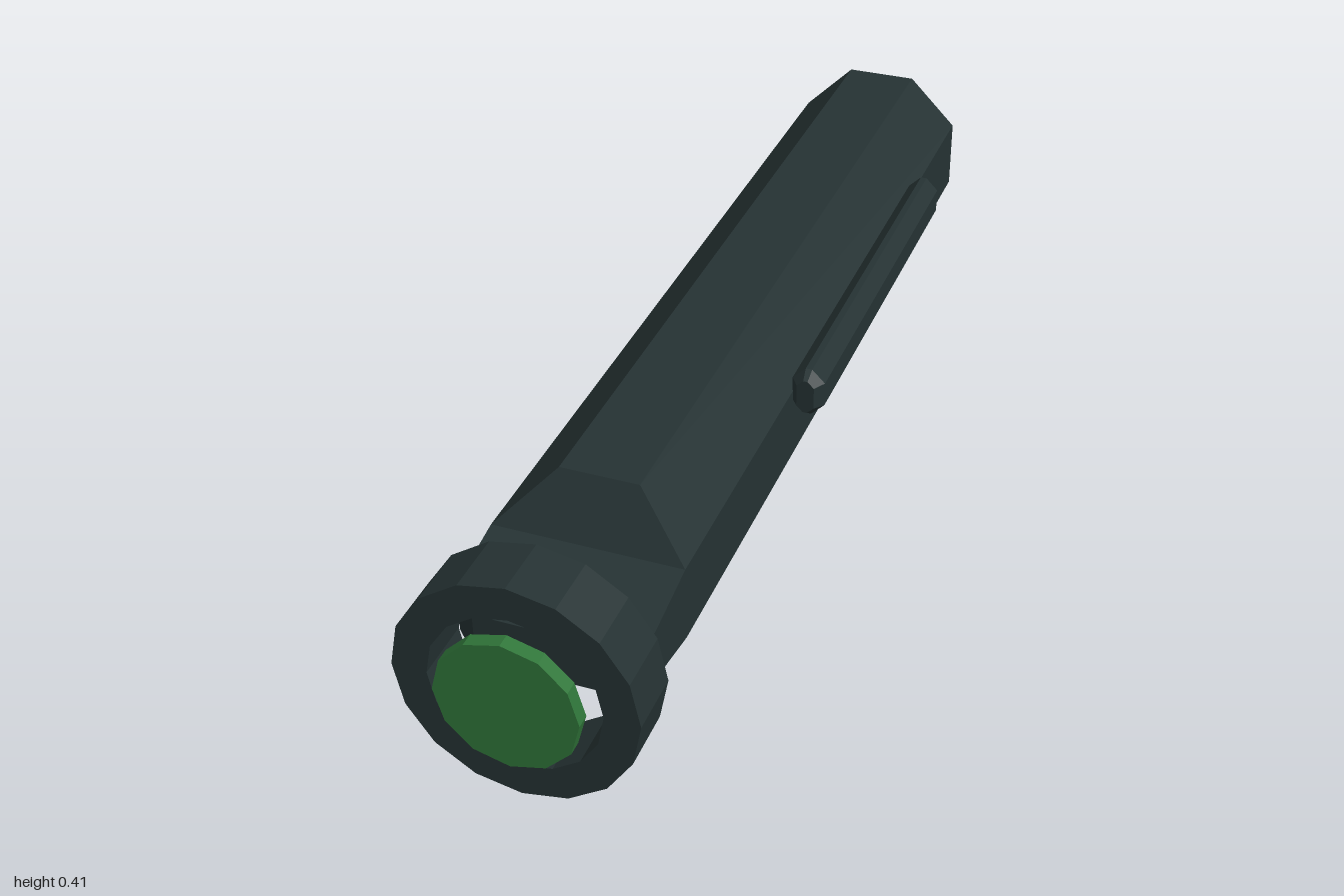
import * as THREE from 'three';

const casing = new THREE.MeshStandardMaterial({ color: 0x253233, flatShading: true });
casing.name = 'dark casing';
const green = new THREE.MeshStandardMaterial({ color: 0x30763a, flatShading: true });
green.name = 'green lens';

// Rectangle with cut corners, counter-clockwise seen from +z
function cutRect(hx, hy, c, z) {
  return [
    [hx, -hy + c], [hx, hy - c], [hx - c, hy], [-hx + c, hy],
    [-hx, hy - c], [-hx, -hy + c], [-hx + c, -hy], [hx - c, -hy],
  ].map(([x, y]) => [x, y, z]);
}

// Closed solid through cross-sections ordered from back to front
function loft(sections) {
  const pos = [];
  const tri = (a, b, c) => pos.push(...a, ...b, ...c);
  const n = sections[0].length;
  for (let s = 0; s < sections.length - 1; s++) {
    const a = sections[s], b = sections[s + 1];
    for (let i = 0; i < n; i++) {
      const j = (i + 1) % n;
      tri(a[i], a[j], b[j]);
      tri(a[i], b[j], b[i]);
    }
  }
  const first = sections[0], last = sections[sections.length - 1];
  for (let i = 1; i < n - 1; i++) {
    tri(first[0], first[i + 1], first[i]);
    tri(last[0], last[i], last[i + 1]);
  }
  const g = new THREE.BufferGeometry();
  g.setAttribute('position', new THREE.Float32BufferAttribute(pos, 3));
  g.computeVertexNormals();
  return g;
}

function polygon(path, radius, sides) {
  const pts = [];
  for (let i = 0; i < sides; i++) {
    const a = (i / sides) * Math.PI * 2;
    pts.push(new THREE.Vector2(radius * Math.cos(a), radius * Math.sin(a)));
  }
  return path.setFromPoints(pts);
}

export function createModel() {
  const model = new THREE.Group();
  model.name = 'torch';
  const add = (name, geometry, material, x, y, z) => {
    const mesh = new THREE.Mesh(geometry, material);
    mesh.name = name;
    mesh.position.set(x, y, z);
    model.add(mesh);
  };
  const cx = -0.011, cy = 0.206;

  // Octagonal handle, cut away above and below into a flat tongue
  const R = 0.168, cut = 0.098, flat = R - cut;
  const shoulder = cutRect(R, R, cut, 0.69)
    .map(([x, y, z]) => [x, y, Math.abs(y) > flat + 0.01 ? 0.63 : z]);
  const squash = (section, h) => section.map(([x, y, z]) => [x, Math.sign(y) * h, z]);
  add('handle', loft([
    cutRect(0.113, 0.113, 0.066, -1),
    cutRect(R, R, cut, -0.945),
    shoulder,
    squash(cutRect(R, R, cut, 0.69), flat),
    squash(cutRect(R, R, cut, 0.82), 0.046),
    squash(cutRect(0.113, 0.113, 0.066, 0.875), 0.046),
  ]), casing, cx, cy + 0.002, 0);

  // Head ring
  const ring = polygon(new THREE.Shape(), 0.206, 16);
  ring.holes.push(polygon(new THREE.Path(), 0.146, 16));
  add('headRing', new THREE.ExtrudeGeometry(ring, { depth: 0.108, bevelEnabled: false }),
    casing, cx, cy, 0.861);

  // Lens disc just ahead of the ring
  const lens = new THREE.CylinderGeometry(0.121, 0.121, 0.025, 12).rotateX(Math.PI / 2);
  add('lens', lens, green, cx, cy + 0.002, 0.9875);

  // Bevelled bar on the left side
  add('sideBar', loft([
    cutRect(0.016, 0.033, 0.012, -0.397),
    cutRect(0.03, 0.047, 0.024, -0.377),
    cutRect(0.03, 0.047, 0.024, 0.377),
    cutRect(0.016, 0.033, 0.012, 0.397),
  ]), casing, 0.185, 0.282, -0.217);

  return model;
}
